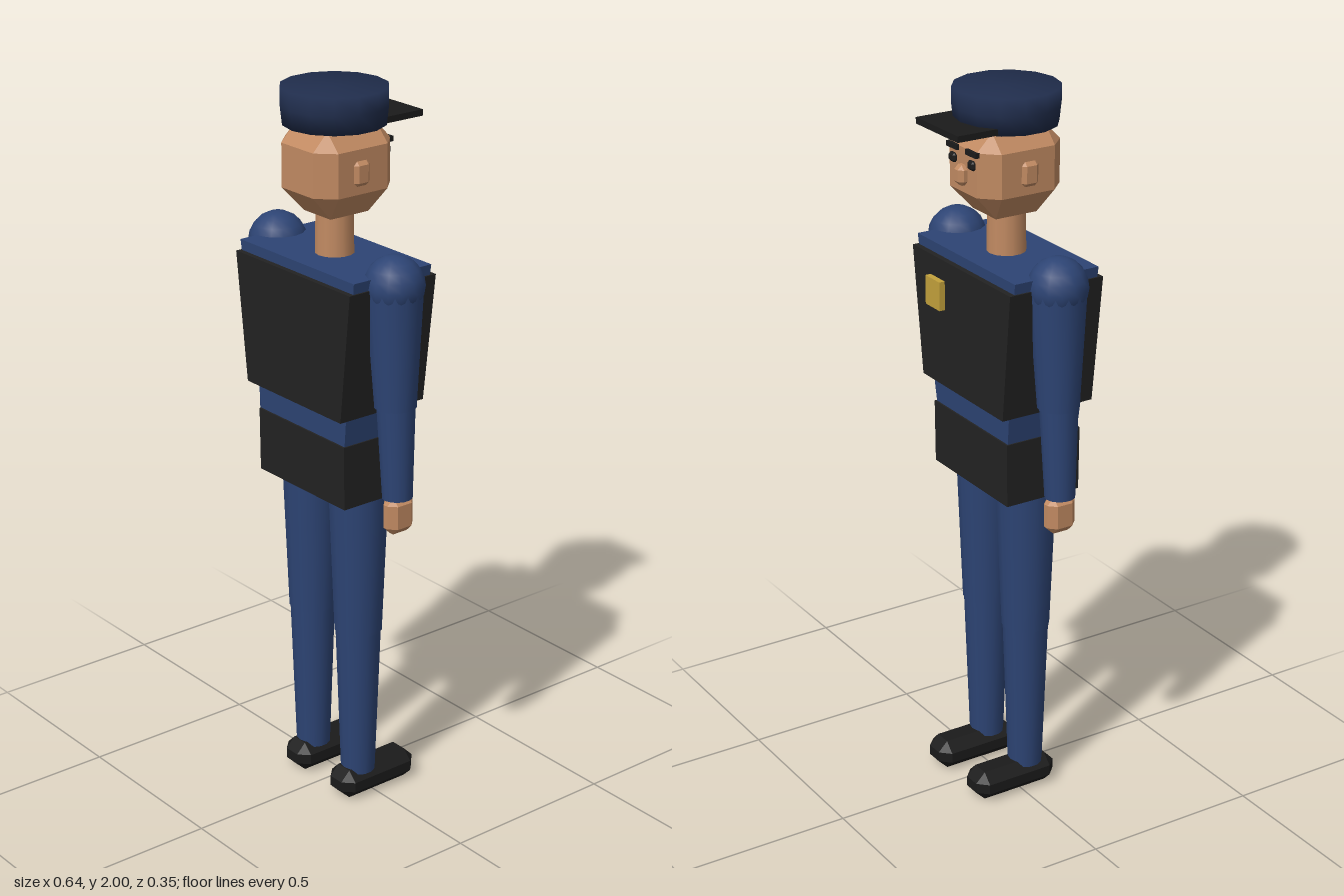
import * as THREE from 'three';
import { ConvexGeometry } from 'three/addons/geometries/ConvexGeometry.js';

const CZ = 0.032; // depth of the body axis; the figure faces -z

const mat = (name, color) => {
  const m = new THREE.MeshStandardMaterial({ color });
  m.name = name;
  return m;
};

// Box with flat chamfered edges, given by full sizes
function bevelBox(w, h, d, b) {
  const pts = [];
  const x = w / 2, y = h / 2, z = d / 2;
  for (const i of [-1, 1]) for (const j of [-1, 1]) for (const k of [-1, 1]) {
    pts.push(new THREE.Vector3(i * x, j * (y - b), k * (z - b)));
    pts.push(new THREE.Vector3(i * (x - b), j * y, k * (z - b)));
    pts.push(new THREE.Vector3(i * (x - b), j * (y - b), k * z));
  }
  return new ConvexGeometry(pts);
}

// Box whose rectangle differs between bottom and top: [y, halfWidth, zMin, zMax]
function taperBox(bottom, top) {
  const g = new THREE.BoxGeometry(2, 1, 1);
  const p = g.attributes.position;
  for (let i = 0; i < p.count; i++) {
    const [y, hw, z0, z1] = p.getY(i) < 0 ? bottom : top;
    p.setXYZ(i, p.getX(i) * hw, y, p.getZ(i) < 0 ? z0 : z1);
  }
  g.computeVertexNormals();
  return g;
}

// Tapered round limb between two points
function limb(a, b, ra, rb) {
  const from = new THREE.Vector3(...a), to = new THREE.Vector3(...b);
  const dir = to.clone().sub(from);
  const g = new THREE.CylinderGeometry(rb, ra, dir.length(), 14);
  g.applyQuaternion(new THREE.Quaternion().setFromUnitVectors(new THREE.Vector3(0, 1, 0), dir.normalize()));
  const c = from.add(to).multiplyScalar(0.5);
  return g.translate(c.x, c.y, c.z);
}

export function createModel() {
  const model = new THREE.Group();
  model.name = 'officer';
  const blue = mat('uniformBlue', 0x2d4474);
  const navy = mat('capNavy', 0x202d4c);
  const black = mat('vestBlack', 0x222222);
  const dark = mat('shoeBlack', 0x1b1b1b);
  const skin = mat('skin', 0xc18a62);
  const gold = mat('badgeGold', 0xc4a23c);

  const add = (name, geometry, material, x = 0, y = 0, z = 0) => {
    const m = new THREE.Mesh(geometry, material);
    m.name = name;
    m.position.set(x, y, z);
    model.add(m);
    return m;
  };

  // Torso, vest and hips
  add('torso', taperBox([1.05, 0.172, -0.075, 0.14], [1.555, 0.237, -0.095, 0.16]), blue);
  add('vest', taperBox([1.17, 0.198, -0.106, 0.172], [1.526, 0.238, -0.11, 0.174]), black);
  add('hips', taperBox([0.913, 0.181, -0.08, 0.145], [1.09, 0.181, -0.082, 0.147]), black);
  add('badge', new THREE.BoxGeometry(0.07, 0.08, 0.02), gold, 0.113, 1.43, -0.116);

  // Neck and faceted head
  add('neck', new THREE.CylinderGeometry(0.05, 0.053, 0.17, 14), skin, 0, 1.615, CZ);
  const pts = [];
  for (const i of [-1, 1]) for (const k of [-1, 1]) {
    const p = (x, y, z) => pts.push(new THREE.Vector3(i * x, y, k * z));
    p(0.065, 1.9, 0.08);
    for (const y of [1.853, 1.735]) {
      p(0.11, y, 0.08);
      p(0.065, y, 0.126);
    }
    p(0.055, 1.665, 0.062);
  }
  add('head', new ConvexGeometry(pts), skin, 0, 0, 0.027);
  add('nose', bevelBox(0.04, 0.055, 0.045, 0.012), skin, 0, 1.782, -0.098);

  // Ears, eyes and brows
  for (const s of [-1, 1]) {
    add('ear', bevelBox(0.03, 0.07, 0.054, 0.012), skin, s * 0.105, 1.79, CZ);
    add('eye', bevelBox(0.03, 0.025, 0.02, 0.006), dark, s * 0.045, 1.817, -0.099);
    add('eyebrow', new THREE.BoxGeometry(0.05, 0.014, 0.02), dark, s * 0.045, 1.848, -0.096);
  }

  // Cap with a soft rim and a flat peak
  const cap = [[0, 0], [0.136, 0], [0.1415, 0.05], [0.1415, 0.097], [0, 0.1]];
  const crown = new THREE.LatheGeometry(cap.map(([x, y]) => new THREE.Vector2(x, y)), 14);
  add('capCrown', crown, navy, 0, 1.9, CZ);
  add('capPeak', new THREE.BoxGeometry(0.202, 0.017, 0.14), dark, 0, 1.911, -0.107);

  // Arms and legs, mirrored
  for (const s of [-1, 1]) {
    add('shoulder', new THREE.SphereGeometry(0.08, 14, 10), blue, s * 0.242, 1.527, CZ);
    add('upperArm', limb([s * 0.25, 1.2, CZ], [s * 0.242, 1.527, CZ], 0.056, 0.077), blue);
    add('forearm', limb([s * 0.261, 0.948, CZ], [s * 0.251, 1.23, CZ], 0.041, 0.053), blue);
    add('hand', bevelBox(0.056, 0.105, 0.086, 0.02), skin, s * 0.262, 0.902, 0.03);
    add('thigh', limb([s * 0.1, 0.505, CZ], [s * 0.1, 0.95, CZ], 0.066, 0.083), blue);
    add('shin', limb([s * 0.1, 0.07, CZ], [s * 0.1, 0.53, CZ], 0.048, 0.064), blue);
    add('shoe', bevelBox(0.104, 0.085, 0.254, 0.028), dark, s * 0.1, 0.0425, -0.017);
  }
  return model;
}
